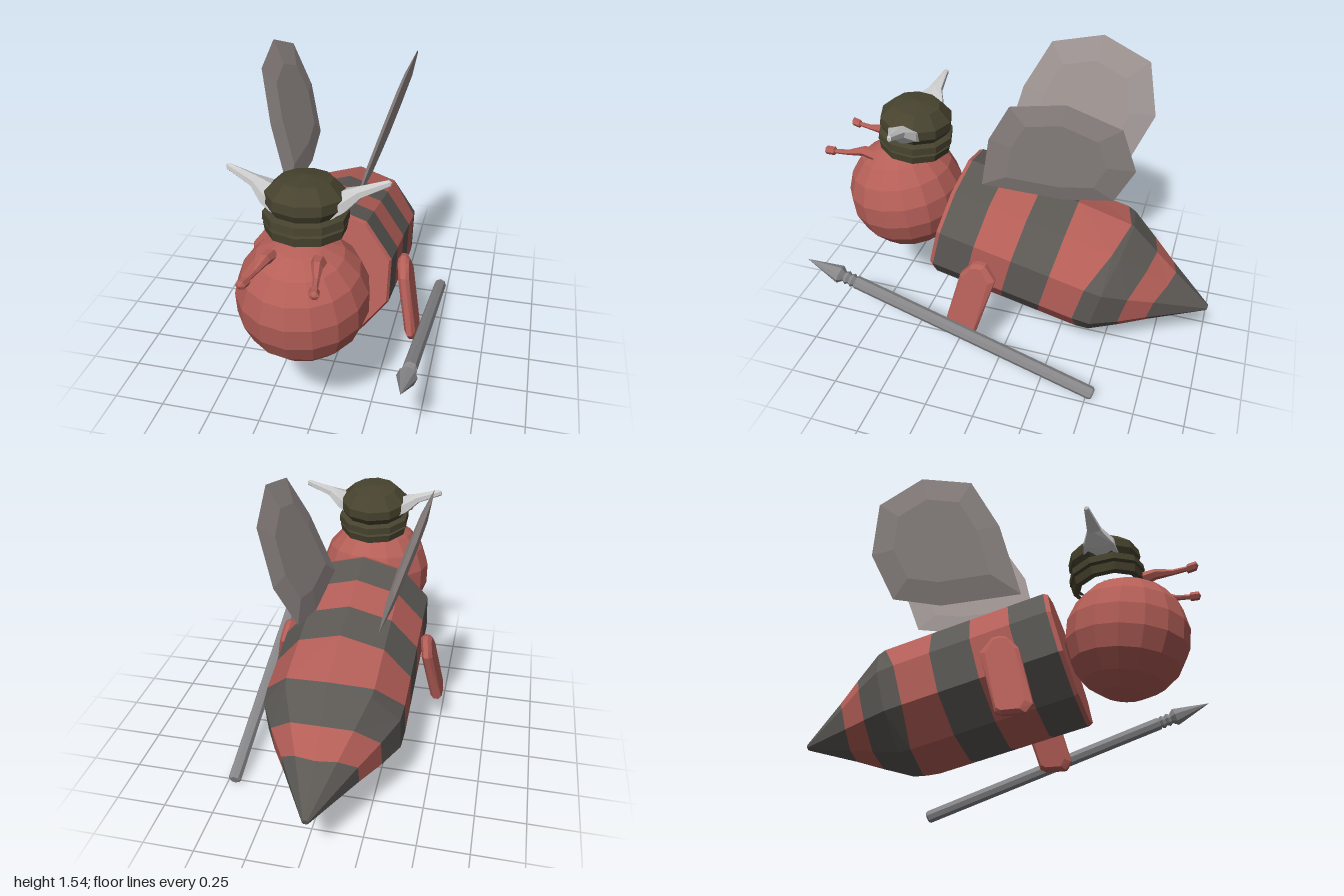
import * as THREE from 'three';
import { ConvexGeometry } from 'three/addons/geometries/ConvexGeometry.js';

const V = (x, y, z) => new THREE.Vector3(x, y, z);
const paint = (color) => new THREE.MeshStandardMaterial({ color, flatShading: true });
const CX = -0.042; // symmetry plane of the insect

// Skin between consecutive closed rings of points
function loft(rings) {
  const p = [];
  for (let k = 0; k + 1 < rings.length; k++) {
    const a = rings[k], b = rings[k + 1], n = a.length;
    for (let i = 0; i < n; i++) {
      const j = (i + 1) % n;
      for (const v of [a[i], a[j], b[j], a[i], b[j], b[i]]) p.push(v.x, v.y, v.z);
    }
  }
  const g = new THREE.BufferGeometry();
  g.setAttribute('position', new THREE.Float32BufferAttribute(p, 3));
  g.computeVertexNormals();
  return g;
}

// Elliptical ring around c, spanned by axes u and v
function ring(c, u, v, n) {
  return Array.from({ length: n }, (_, i) => {
    const a = (i / n) * Math.PI * 2;
    return c.clone().addScaledVector(u, Math.cos(a)).addScaledVector(v, Math.sin(a));
  });
}

// Mirrored copy across x = 0 with corrected face order
function mirrored(geo) {
  const g = geo.index ? geo.toNonIndexed() : geo.clone();
  g.scale(-1, 1, 1);
  const p = g.attributes.position, a = V(0, 0, 0), b = V(0, 0, 0);
  for (let i = 0; i < p.count; i += 3) {
    a.fromBufferAttribute(p, i + 1);
    b.fromBufferAttribute(p, i + 2);
    p.setXYZ(i + 1, b.x, b.y, b.z);
    p.setXYZ(i + 2, a.x, a.y, a.z);
  }
  g.computeVertexNormals();
  return g;
}

export function createModel() {
  const model = new THREE.Group();
  const red = paint(0xb55f58), dark = paint(0x5c5955), helmetMat = paint(0x47432f);
  const wingMat = paint(0x9c9391), hornMat = paint(0xc6c6ca), steel = paint(0x88888b);
  wingMat.side = THREE.DoubleSide;

  const add = (name, geo, mat, x = 0, y = 0, z = 0) => {
    const m = new THREE.Mesh(geo, mat);
    m.name = name;
    m.position.set(x, y, z);
    model.add(m);
    return m;
  };
  const addPair = (name, geo, mat, cx = CX) => {
    add('left' + name, geo, mat, cx);
    add('right' + name, mirrored(geo), mat, cx);
  };

  // Striped body: tilted ten-sided barrel ending in a pointed tail
  const start = V(CX, 0.64, 0.355), axis = V(0, -0.236, -0.972), up = V(0, 0.972, -0.236);
  const profile = [[0, 0.33], [0.02, 0.34], [0.84, 0.335], [0.895, 0.32], [1.15, 0.16], [1.4, 0.015]];
  const radiusAt = (s) => {
    for (let i = 1; i < profile.length; i++) {
      const [s0, r0] = profile[i - 1], [s1, r1] = profile[i];
      if (s <= s1) return r0 + ((r1 - r0) * (s - s0)) / (s1 - s0);
    }
    return 0.015;
  };
  // zig shifts the boundary backwards towards the top and bottom
  const bodyRing = (s, zig, flat) => Array.from({ length: 10 }, (_, i) => {
    const a = (i * Math.PI) / 5;
    const t = s + zig * Math.cos(a) ** 2 * (Math.cos(a) > 0 ? 1 : 0.6);
    const r = flat ? 0.001 : radiusAt(t);
    return start.clone().addScaledVector(axis, t).addScaledVector(up, r * Math.cos(a))
      .add(V(1.05 * r * Math.sin(a), 0, 0));
  });
  const bands = [
    ['bodyFront', red, [[0, 0, true], [0, 0], [0.02, 0]]],
    ['bodyStripe', dark, [[0.02, 0], [0.2, 0]]],
    ['bodyStripe', red, [[0.2, 0], [0.395, 0]]],
    ['bodyStripe', dark, [[0.395, 0], [0.595, 0]]],
    ['bodyStripe', red, [[0.595, 0], [0.765, 0.115]]],
    ['tailBase', dark, [[0.765, 0.115], [0.86, 0.035], [0.985, 0.065]]],
    ['tailStripe', red, [[0.985, 0.065], [1.115, 0.065]]],
    ['tailTip', dark, [[1.115, 0.065], [1.4, 0], [1.4, 0, true]]],
  ];
  for (const [name, mat, rings] of bands) add(name, loft(rings.map((r) => bodyRing(...r))), mat);

  // Head
  add('head', new THREE.SphereGeometry(0.302, 16, 9), red, CX, 0.715, 0.632).rotation.x = 0.12;

  // Helmet dome with a double brim
  const helmetProfile = [[0.15, -0.12], [0.178, -0.115], [0.185, -0.075], [0.165, -0.07], [0.19, -0.06],
    [0.188, -0.025], [0.16, -0.015], [0.182, 0.02], [0.18, 0.065], [0.118, 0.125], [0, 0.142]];
  const helmet = add('helmet', new THREE.LatheGeometry(
    helmetProfile.map((p) => new THREE.Vector2(...p)), 10), helmetMat, CX, 1.12, 0.55);
  helmet.rotation.x = -0.1;

  // Horns: wide flattened base sweeping to a thin tip
  const hornRings = [[0.12, 1.135, 0.55, 0.045, 0.1], [0.175, 1.165, 0.545, 0.04, 0.085],
    [0.235, 1.205, 0.535, 0.024, 0.038], [0.355, 1.252, 0.52, 0.015, 0.012], [0.362, 1.257, 0.52, 0.001, 0.001]]
    .map(([x, y, z, h, w]) => ring(V(x, y, z), V(-0.4 * h, h, 0), V(0, 0, -w), 6).reverse());
  addPair('Horn', loft(hornRings), hornMat);

  // Antennae with a small knob
  const antennaRings = [[0.105, 0.97, 0.74, 0.035], [0.112, 0.985, 0.8, 0.026], [0.13, 0.973, 0.88, 0.014],
    [0.142, 0.975, 0.945, 0.012], [0.142, 0.975, 0.95, 0.022], [0.15, 0.98, 0.99, 0.022], [0.151, 0.98, 1, 0.001]]
    .map(([x, y, z, r]) => ring(V(x, y, z), V(r, 0, 0), V(0, r, 0), 6));
  addPair('Antenna', loft(antennaRings), red);

  // Wings: thin faceted lenses leaning outwards
  const wingOutline = [[0.16, 0.925], [0.08, 1.26], [-0.045, 1.49], [-0.3, 1.55],
    [-0.54, 1.455], [-0.6, 1.21], [-0.5, 0.98], [-0.25, 0.92]];
  const wingPoints = [];
  for (const [z, y] of wingOutline) {
    const put = (pz, py, dx) => wingPoints.push(V(0.165 + (py - 0.93) * 0.32 + dx, py, pz));
    put(z, y, 0);
    for (const dx of [-0.018, 0.018]) put(-0.24 + (z + 0.24) * 0.65, 1.22 + (y - 1.22) * 0.65, dx);
  }
  addPair('Wing', new ConvexGeometry(wingPoints), wingMat, -0.075);

  // Arms: pointed paddles with bevelled edges
  const armOutline = [[0.1, 0.625], [0.065, 0.62], [0.012, 0.545], [0.1, 0.235], [0.13, 0.22],
    [0.235, 0.22], [0.265, 0.26], [0.192, 0.55], [0.135, 0.615]];
  const armPoints = [];
  for (const [z, y] of armOutline) {
    const lean = (py) => 0.365 + (0.62 - py) * 0.19;
    for (const dx of [-0.012, 0.012]) armPoints.push(V(lean(y) + dx, y, z));
    const iz = 0.135 + (z - 0.135) * 0.75, iy = 0.42 + (y - 0.42) * 0.92;
    for (const dx of [-0.028, 0.028]) armPoints.push(V(lean(iy) + dx, iy, iz));
  }
  addPair('Arm', new ConvexGeometry(armPoints), red);

  // Spear: shaft, collar rings and pointed head, listed from butt to tip
  const spearProfile = [[0, 0], [0.026, 0], [0.034, 0.01], [0.034, 1.32], [0.026, 1.325], [0.036, 1.34],
    [0.026, 1.355], [0.036, 1.37], [0.026, 1.385], [0.047, 1.41], [0, 1.595]];
  const spear = add('spear', new THREE.LatheGeometry(
    spearProfile.map((p) => new THREE.Vector2(...p)), 8), steel, 0.46, 0.037, -0.535);
  spear.quaternion.setFromUnitVectors(V(0, 1, 0), V(0, 0.5, 1.515).normalize());

  return model;
}
